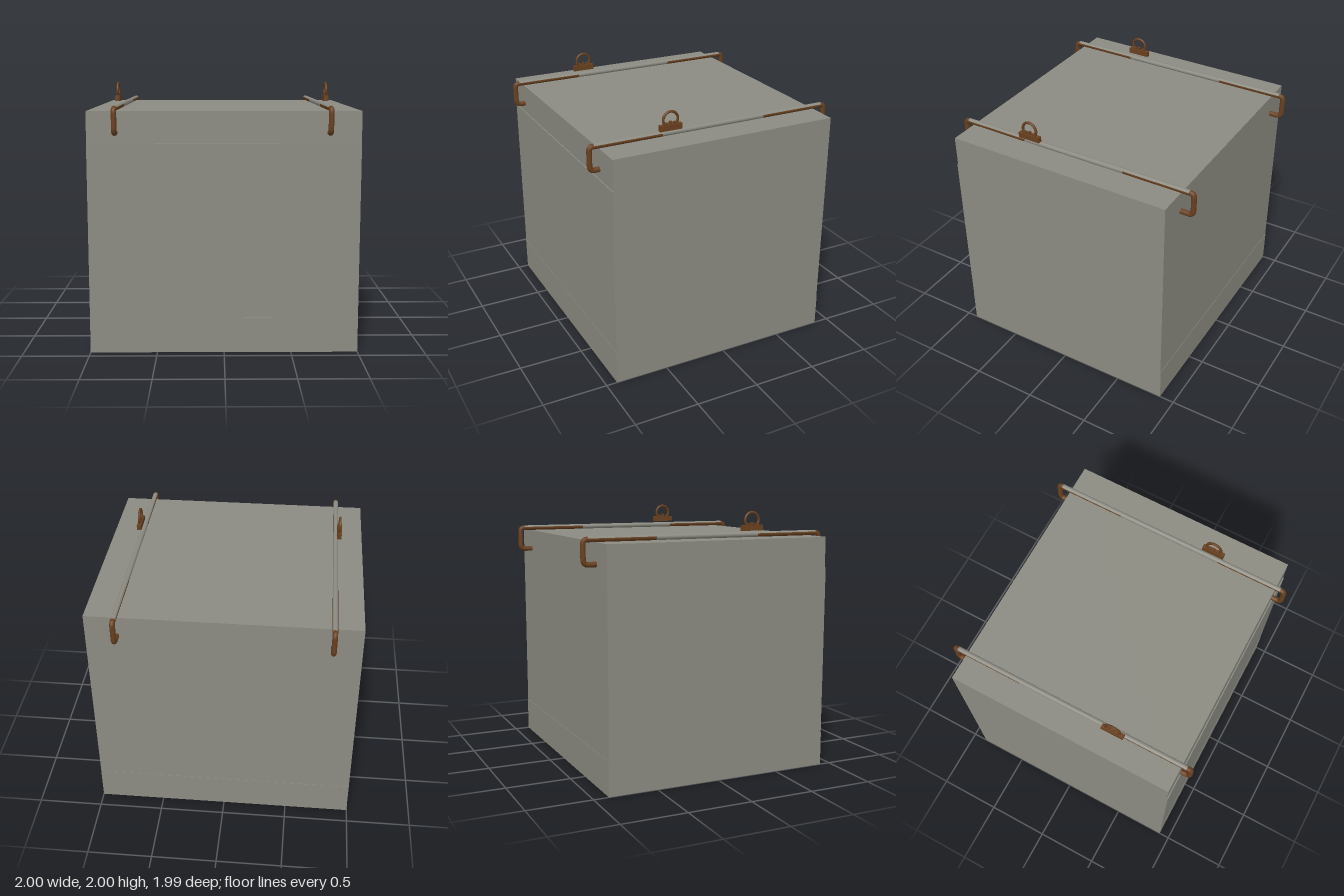
import * as THREE from 'three';

const stone = new THREE.MeshStandardMaterial({ color: 0x8b8b82 });
stone.name = 'stone grey';
const rust = new THREE.MeshStandardMaterial({ color: 0x68401f });
rust.name = 'rust brown';

function add(parent, name, geometry, material, x = 0, y = 0, z = 0) {
  const mesh = new THREE.Mesh(geometry, material);
  mesh.name = name;
  mesh.position.set(x, y, z);
  parent.add(mesh);
  return mesh;
}

// Box spanning the full width, given its height and depth limits
function slab(parent, name, y0, y1, z0, z1) {
  add(parent, name, new THREE.BoxGeometry(2, y1 - y0, z1 - z0), stone, 0, (y0 + y1) / 2, (z0 + z1) / 2);
}

// Length of rod along z, covering part of its circumference (theta = PI is the top)
function rodArc(parent, name, material, z0, z1, start, sweep) {
  const g = new THREE.CylinderGeometry(0.02, 0.02, z1 - z0, 12, 1, true, start, sweep);
  g.rotateX(Math.PI / 2);
  add(parent, name, g, material, 0, 1.823, (z0 + z1) / 2);
}

// C-shaped end of a rod, turning down and back in under the lid
function hook(parent, side) {
  const p = (y, z) => new THREE.Vector3(0, y, z * side);
  const path = new THREE.CurvePath();
  path.add(new THREE.LineCurve3(p(1.823, 0.93), p(1.823, 0.945)));
  path.add(new THREE.QuadraticBezierCurve3(p(1.823, 0.945), p(1.823, 0.977), p(1.791, 0.977)));
  path.add(new THREE.LineCurve3(p(1.791, 0.977), p(1.685, 0.977)));
  path.add(new THREE.QuadraticBezierCurve3(p(1.685, 0.977), p(1.646, 0.977), p(1.646, 0.94)));
  path.add(new THREE.LineCurve3(p(1.646, 0.94), p(1.646, 0.875)));
  add(parent, 'hook', new THREE.TubeGeometry(path, 32, 0.02, 10), rust);
}

function createRod(x) {
  const rod = new THREE.Group();
  rod.name = 'clampRod';
  rod.position.x = x;
  rodArc(rod, 'rodMiddle', stone, -0.42, 0.42, 0, Math.PI * 2);
  const half = 1.2;
  for (const side of [1, -1]) {
    const z0 = side > 0 ? 0.42 : -0.945;
    const z1 = z0 + 0.525;
    rodArc(rod, 'wornRodTop', stone, z0, z1, Math.PI - half, half * 2);
    rodArc(rod, 'rustyRodUnderside', rust, z0, z1, Math.PI + half, Math.PI * 2 - half * 2);
    hook(rod, side);
  }
  return rod;
}

// Lifting ring standing on a small block
function createRing(x) {
  const ring = new THREE.Group();
  ring.name = 'liftingRing';
  ring.position.set(x, 0, 0.362);
  add(ring, 'ringBlock', new THREE.BoxGeometry(0.035, 0.042, 0.176), rust, 0, 1.874, 0);
  const loop = new THREE.TorusGeometry(0.058, 0.01, 8, 28);
  loop.rotateY(Math.PI / 2);
  add(ring, 'loop', loop, rust, 0, 1.932, 0);
  for (const z of [-0.04, 0.04]) {
    add(ring, 'loopFoot', new THREE.BoxGeometry(0.022, 0.02, 0.03), rust, 0, 1.9, z);
  }
  add(ring, 'ringPin', new THREE.BoxGeometry(0.02, 0.025, 0.02), rust, 0, 1.905, 0);
  return ring;
}

export function createModel() {
  const model = new THREE.Group();
  model.name = 'crate';

  // Block: base, body and lid
  slab(model, 'base', 0, 0.265, -0.883, 0.915);
  slab(model, 'body', 0.265, 1.57, -0.88, 0.913);
  slab(model, 'lid', 1.57, 1.802, -0.88, 0.905);

  // Clamp rods and lifting rings
  for (const x of [-0.79, 0.767]) model.add(createRod(x));
  for (const x of [-0.817, 0.792]) model.add(createRing(x));
  return model;
}
